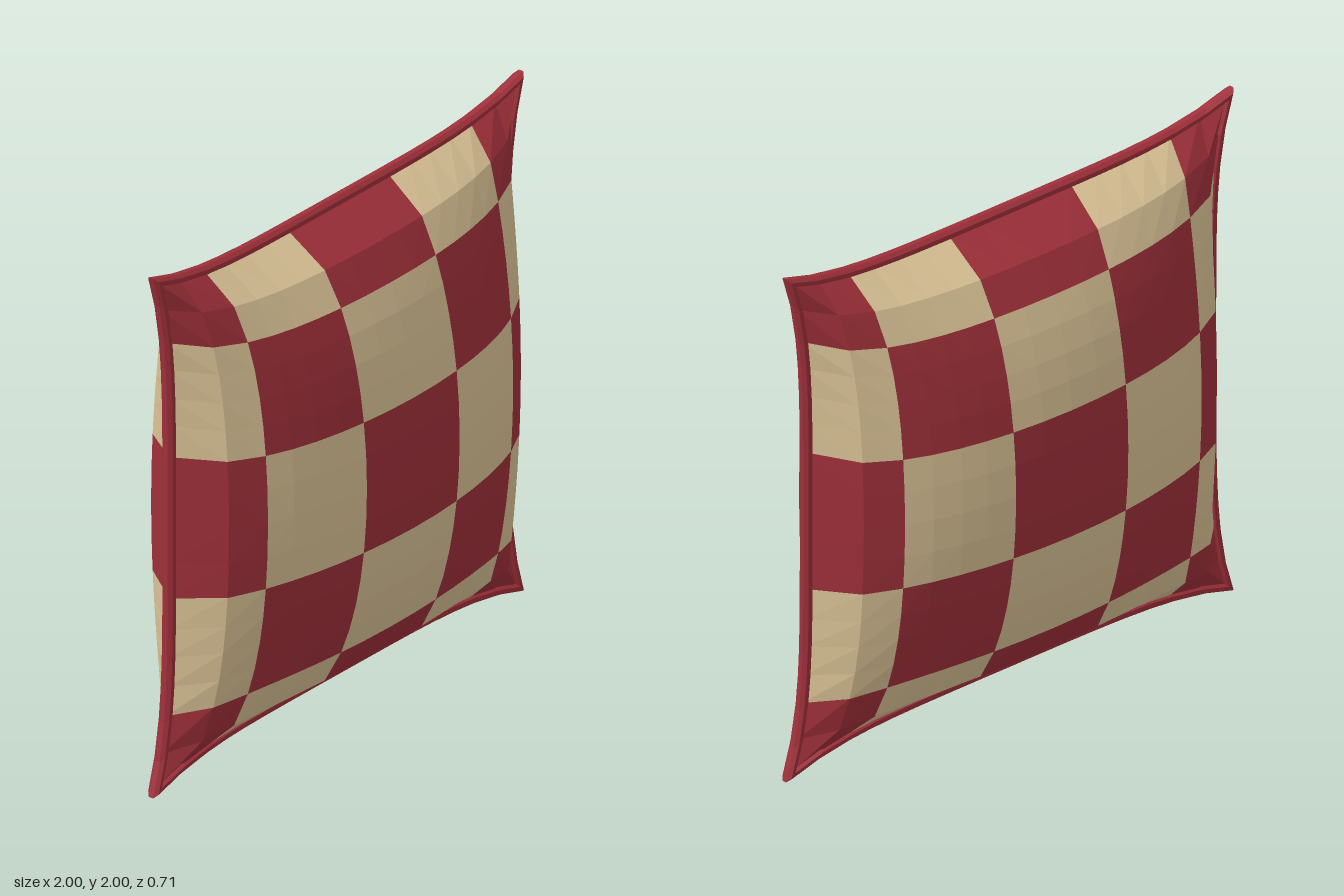
import * as THREE from 'three';

const HALF = 0.9, FLARE = 0.076, DEPTH = 0.355;
// Grid lines of the cushion; check borders fall on 0.278 and 0.735
const HALF_KNOTS = [0.14, 0.278, 0.4, 0.51, 0.625, 0.735, 0.875, 1];
const KNOTS = [...HALF_KNOTS.map(k => -k).reverse(), 0, ...HALF_KNOTS];

// Square with inward-curved sides and pointed corners
const spread = (a, b) => a * (HALF + FLARE * Math.abs(b) ** 4.5);
const surface = (u, v, side) => [
  spread(u, v), spread(v, u),
  side * DEPTH * Math.sqrt(Math.max(0, (1 - u * u) * (1 - v * v))),
];
const check = u => [-0.735, -0.278, 0.278, 0.735].filter(b => u > b).length;

function geometryFrom(positions) {
  const g = new THREE.BufferGeometry();
  g.setAttribute('position', new THREE.Float32BufferAttribute(positions, 3));
  g.computeVertexNormals();
  return g;
}

// All checks of one colour on one side of the cushion
function checks(side, parity) {
  const out = [];
  for (let i = 0; i < KNOTS.length - 1; i++) {
    for (let j = 0; j < KNOTS.length - 1; j++) {
      const u0 = KNOTS[i], u1 = KNOTS[i + 1], v0 = KNOTS[j], v1 = KNOTS[j + 1];
      const mu = (u0 + u1) / 2, mv = (v0 + v1) / 2;
      if ((check(mu) + check(mv)) % 2 !== parity) continue;
      const a = surface(u0, v0, side), b = surface(u1, v0, side);
      const c = surface(u1, v1, side), d = surface(u0, v1, side);
      // Diagonals run from the middle towards the corners
      const tris = mu * mv > 0 ? [[a, b, c], [a, c, d]] : [[a, b, d], [b, c, d]];
      for (const [p, q, r] of tris) out.push(...p, ...(side > 0 ? q : r), ...(side > 0 ? r : q));
    }
  }
  return geometryFrom(out);
}

// Piping: an octagonal section swept round the outline with mitred corners
function piping() {
  const outline = [];
  const edge = KNOTS.slice(0, -1);
  for (const k of edge) outline.push([k, -1]);
  for (const k of edge) outline.push([1, k]);
  for (const k of edge) outline.push([-k, 1]);
  for (const k of edge) outline.push([-1, -k]);
  const SIDES = 8, R = 0.025;
  const point = (i, j) => {
    const [u, v] = outline[i % outline.length];
    const t = ((j + 0.5) / SIDES) * Math.PI * 2;
    const s = 1 + R * Math.cos(t);
    return [spread(u, v) * s, spread(v, u) * s, R * Math.sin(t)];
  };
  const out = [];
  for (let i = 0; i < outline.length; i++) {
    for (let j = 0; j < SIDES; j++) {
      const a = point(i, j), b = point(i + 1, j), c = point(i + 1, j + 1), d = point(i, j + 1);
      out.push(...a, ...b, ...c, ...a, ...c, ...d);
    }
  }
  return geometryFrom(out);
}

export function createModel() {
  const red = new THREE.MeshStandardMaterial({ color: 0xa0303a, flatShading: true });
  red.name = 'red fabric';
  const cream = new THREE.MeshStandardMaterial({ color: 0xdcc497, flatShading: true });
  cream.name = 'cream fabric';

  const model = new THREE.Group();
  model.name = 'cushion';
  const add = (name, geometry, material) => {
    const mesh = new THREE.Mesh(geometry, material);
    mesh.name = name;
    mesh.position.y = 1;
    model.add(mesh);
  };
  for (const [name, side] of [['front', 1], ['back', -1]]) {
    add(name + 'RedChecks', checks(side, 0), red);
    add(name + 'CreamChecks', checks(side, 1), cream);
  }
  add('piping', piping(), red);
  return model;
}
